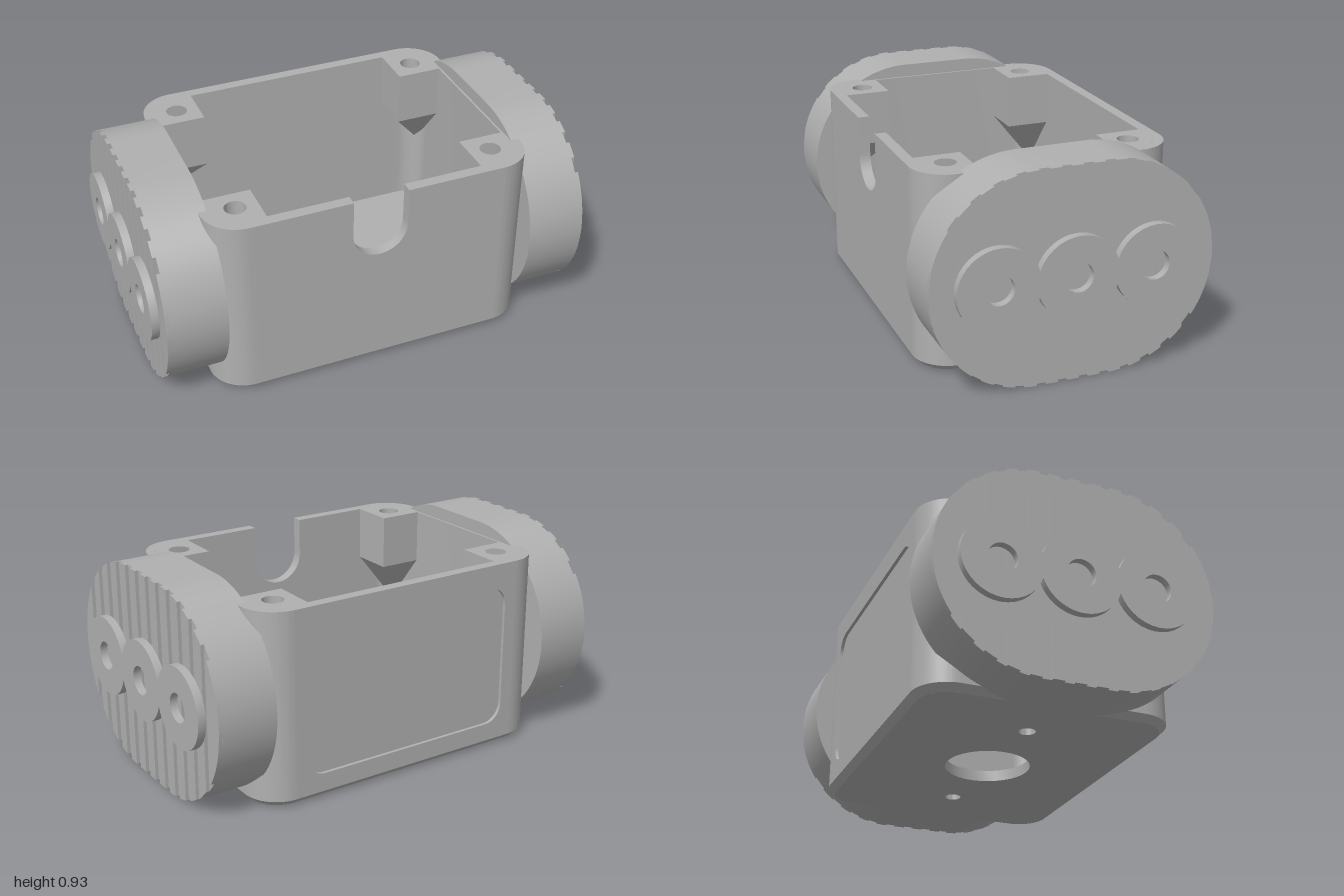
import * as THREE from 'three';
import { toCreasedNormals } from 'three/addons/utils/BufferGeometryUtils.js';

const H = 0.87;             // housing height
const CHAMFER = 0.03;       // chamfer at the bottom edge
const CAP_R = 0.465, CAP_OFF = 0.157; // stadium-shaped end caps

const soft = (g) => toCreasedNormals(g, 0.5);

function roundedRect(hx, hy, r, cy = 0, Type = THREE.Shape) {
  const s = new Type();
  s.moveTo(hx, cy - hy + r);
  s.lineTo(hx, cy + hy - r);
  s.absarc(hx - r, cy + hy - r, r, 0, Math.PI / 2, false);
  s.absarc(-hx + r, cy + hy - r, r, Math.PI / 2, Math.PI, false);
  s.absarc(-hx + r, cy - hy + r, r, Math.PI, Math.PI * 1.5, false);
  s.absarc(hx - r, cy - hy + r, r, Math.PI * 1.5, Math.PI * 2, false);
  return s;
}

const circle = (x, y, r) => new THREE.Path().absarc(x, y, r, 0, Math.PI * 2, true);

function extrude(shape, from, to) {
  const g = new THREE.ExtrudeGeometry(shape, { depth: to - from, bevelEnabled: false, curveSegments: 16 });
  return g.translate(0, 0, from);
}
// plan outline raised along y
const upright = (shape, y0, y1) => soft(extrude(shape, y0, y1).rotateX(-Math.PI / 2));
// side outline pushed along +x
const sideways = (shape, x0, x1) => soft(extrude(shape, x0, x1).rotateY(Math.PI / 2));

// sloping skin between two matching plan outlines
function loft(a, ya, b, yb) {
  const n = a.length, v = [];
  for (let i = 0; i < n; i++) {
    const j = (i + 1) % n;
    const A = [a[i].x, a[i].y, ya], B = [a[j].x, a[j].y, ya];
    const C = [b[j].x, b[j].y, yb], D = [b[i].x, b[i].y, yb];
    v.push(...A, ...B, ...C, ...A, ...C, ...D);
  }
  const g = new THREE.BufferGeometry();
  g.setAttribute('position', new THREE.Float32BufferAttribute(v, 3));
  g.rotateX(-Math.PI / 2);
  g.computeVertexNormals();
  return soft(g);
}

function outline(shape) {
  const p = shape.getPoints(12);
  if (p[0].distanceTo(p[p.length - 1]) < 1e-6) p.pop();
  return THREE.ShapeUtils.isClockWise(p) ? p.reverse() : p;
}

export function createModel() {
  const model = new THREE.Group();
  model.name = 'housing';
  const grey = new THREE.MeshStandardMaterial({ color: 0xb0b0b0 });
  grey.name = 'grey';
  const add = (parent, name, geo) => {
    const m = new THREE.Mesh(geo, grey);
    m.name = name;
    parent.add(m);
    return m;
  };

  // Floor with centre opening and two screw holes
  const floor = roundedRect(0.705, 0.535, 0.13);
  floor.holes.push(circle(0, 0, 0.19), circle(0.44, 0, 0.037), circle(-0.44, 0, 0.037));
  add(model, 'floor', upright(floor, 0, 0.05));
  add(model, 'bottomChamfer', loft(
    outline(roundedRect(0.705, 0.535, 0.13)), 0,
    outline(roundedRect(0.735, 0.565, 0.16)), CHAMFER));
  for (const s of [-1, 1]) {
    const boss = new THREE.CylinderGeometry(0.093, 0.093, 0.08, 40).translate(s * 0.44, 0.08, 0);
    add(model, 'floorBoss', boss);
  }

  // End walls wrapping around the rounded corners
  const end = new THREE.Shape();
  end.moveTo(0.55, -0.565);
  end.lineTo(0.575, -0.565);
  end.absarc(0.575, -0.405, 0.16, -Math.PI / 2, 0, false);
  end.absarc(0.575, 0.405, 0.16, 0, Math.PI / 2, false);
  end.lineTo(0.55, 0.565);
  end.lineTo(0.55, 0.515);
  end.absarc(0.59, 0.415, 0.1, Math.PI / 2, 0, true);
  end.absarc(0.59, -0.415, 0.1, 0, -Math.PI / 2, true);
  end.lineTo(0.55, -0.515);
  const endGeo = upright(end, CHAMFER, H);
  for (const a of [0, Math.PI]) add(model, 'endWall', endGeo).rotation.y = a;

  // Front wall with U-shaped cable slot
  const front = new THREE.Shape();
  front.moveTo(-0.55, CHAMFER);
  front.lineTo(0.55, CHAMFER);
  front.lineTo(0.55, H);
  front.lineTo(0.125, H);
  front.lineTo(0.125, 0.7);
  front.absarc(0, 0.7, 0.125, 0, -Math.PI, true);
  front.lineTo(-0.125, H);
  front.lineTo(-0.55, H);
  add(model, 'frontWall', soft(extrude(front, 0.515, 0.565)));

  // Back wall with shallow recessed panel
  const back = new THREE.Shape();
  back.moveTo(-0.55, CHAMFER);
  back.lineTo(0.55, CHAMFER);
  back.lineTo(0.55, H);
  back.lineTo(-0.55, H);
  add(model, 'backWall', extrude(back, -0.55, -0.515));
  const frame = back.clone();
  frame.holes.push(roundedRect(0.52, 0.325, 0.085, 0.438, THREE.Path));
  add(model, 'backFrame', soft(extrude(frame, -0.565, -0.55)));

  // Corner screw posts, each tapering into its corner
  for (const sx of [-1, 1]) for (const sz of [-1, 1]) {
    const arc = new THREE.Path().absarc(0.59, 0.415, 0.1, 0, Math.PI / 2, false).getPoints(8);
    const pts = [[0.485, 0.31], [0.69, 0.31], ...arc.map((p) => [p.x, p.y]), [0.485, 0.515]]
      .map(([x, y]) => new THREE.Vector2(x * sx, y * sz));
    const post = new THREE.Shape(pts);
    post.holes.push(circle(0.585 * sx, 0.41 * sz, 0.047));
    add(model, 'screwPost', upright(post, 0.62, H));
    const ring = outline(new THREE.Shape(pts));
    const tip = ring.map(() => new THREE.Vector2(0.685 * sx, 0.51 * sz));
    add(model, 'postTaper', loft(tip, 0.37, ring, 0.62));
    add(model, 'postHoleBottom',
      new THREE.CircleGeometry(0.05, 24).rotateX(-Math.PI / 2).translate(0.585 * sx, 0.621, -0.41 * sz));
  }

  // End cap: stadium block, ribbed face and triple washer
  const stadium = new THREE.Shape();
  stadium.absarc(CAP_OFF, CAP_R, CAP_R, -Math.PI / 2, Math.PI / 2, false);
  stadium.absarc(-CAP_OFF, CAP_R, CAP_R, Math.PI / 2, Math.PI * 1.5, false);
  const blockGeo = soft(new THREE.ExtrudeGeometry(stadium, { depth: 0.25, bevelEnabled: false, curveSegments: 40 })
    .translate(0, 0, 0.7).rotateY(Math.PI / 2));

  const halfHeight = (z) => {
    const d = Math.max(0, Math.abs(z) - CAP_OFF);
    return Math.sqrt(Math.max(0, CAP_R * CAP_R - d * d));
  };
  const ribGeos = [];
  for (let k = -6; k <= 6; k++) {
    const a = k === -6 ? -0.6215 : k * 0.094 - 0.026;
    const b = k === 6 ? 0.6215 : k * 0.094 + 0.026;
    const low = [], high = [];
    for (let i = 0; i <= 8; i++) {
      const z = a + (b - a) * i / 8;
      low.push(new THREE.Vector2(z, CAP_R - halfHeight(z)));
      high.unshift(new THREE.Vector2(z, CAP_R + halfHeight(z)));
    }
    ribGeos.push(sideways(new THREE.Shape([...low, ...high]), 0.95, 0.965));
  }

  // three overlapping discs as one outline
  const r = 0.179, step = 0.34, t = Math.acos(step / 2 / r), cy = 0.468;
  const washer = new THREE.Shape();
  washer.absarc(step, cy, r, -Math.PI + t, Math.PI - t, false);
  washer.absarc(0, cy, r, t, Math.PI - t, false);
  washer.absarc(-step, cy, r, t, Math.PI * 2 - t, false);
  washer.absarc(0, cy, r, Math.PI + t, Math.PI * 2 - t, false);
  for (const k of [-1, 0, 1]) washer.holes.push(circle(k * step, cy, 0.064));
  const washerGeo = sideways(washer, 0.965, 1);

  for (const [name, a] of [['leftCap', 0], ['rightCap', Math.PI]]) {
    const cap = new THREE.Group();
    cap.name = name;
    cap.rotation.y = a;
    add(cap, 'capBlock', blockGeo);
    ribGeos.forEach((g) => add(cap, 'capRib', g));
    add(cap, 'tripleWasher', washerGeo);
    model.add(cap);
  }
  return model;
}
